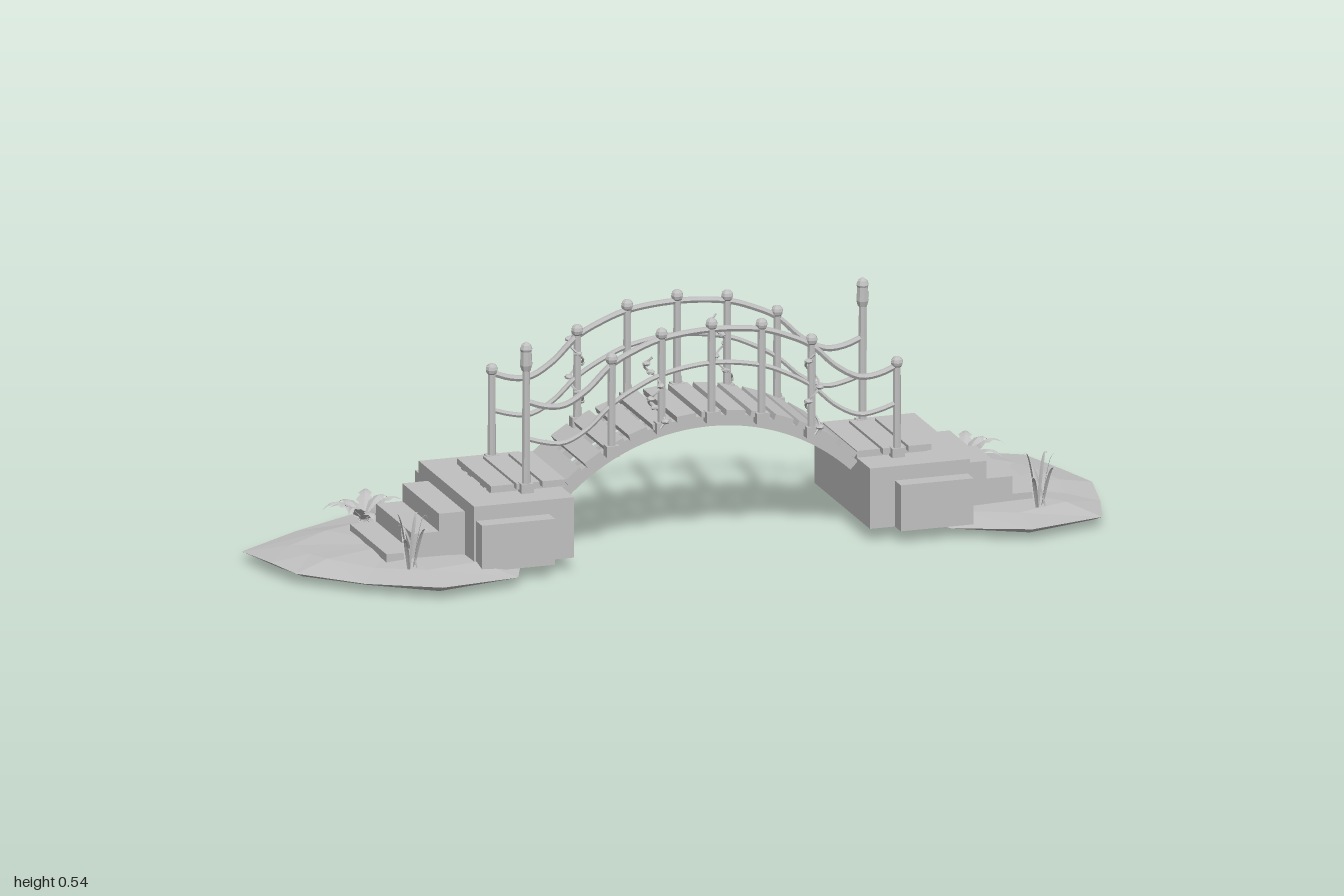
import * as THREE from 'three';

const stone = new THREE.MeshStandardMaterial({ color: 0xc0c0c0, flatShading: true, side: THREE.DoubleSide });
stone.name = 'plain grey';

function add(parent, name, geometry, x = 0, y = 0, z = 0) {
  const m = new THREE.Mesh(geometry, stone);
  m.name = name;
  m.position.set(x, y, z);
  parent.add(m);
  return m;
}

// box given by its limits
function box(parent, name, x0, x1, y0, y1, z0, z1) {
  return add(parent, name, new THREE.BoxGeometry(Math.abs(x1 - x0), y1 - y0, z1 - z0),
    (x0 + x1) / 2, (y0 + y1) / 2, (z0 + z1) / 2);
}

function tube(parent, name, pts, radius, segments, sides = 6) {
  const curve = new THREE.CatmullRomCurve3(pts.map(p => new THREE.Vector3(...p)));
  return add(parent, name, new THREE.TubeGeometry(curve, segments, radius, sides));
}

function meshFrom(pos, index) {
  const g = new THREE.BufferGeometry();
  g.setAttribute('position', new THREE.Float32BufferAttribute(pos, 3));
  g.setIndex(index);
  const flat = g.toNonIndexed();
  flat.computeVertexNormals();
  return flat;
}

// low mound lofted through scaled copies of an outline
function mound(parent, name, outline, cx, cz) {
  const rings = [[0.001, 0.046], [0.68, 0.042], [1, 0.026], [0.93, 0.016], [0.55, 0.002], [0.001, 0]];
  const pos = [], index = [], n = outline.length;
  rings.forEach(([s, y], i) => outline.forEach(([x, z], j) => {
    const bump = i === 1 || i === 2 ? 0.004 * Math.sin(j * 2.3 + i) : 0;
    pos.push(cx + (x - cx) * s, y + bump, cz + (z - cz) * s);
    if (i === 0) return;
    const k = (j + 1) % n, a = (i - 1) * n, b = i * n;
    index.push(a + j, b + j, b + k, a + j, b + k, a + k);
  }));
  add(parent, name, meshFrom(pos, index));
}

// arching serrated leaf, or a straight blade when serration is zero
function leaf(parent, name, x, y, z, angle, length, rise, drop, width, serration) {
  const pos = [], index = [], n = 10;
  const dx = Math.cos(angle), dz = Math.sin(angle);
  for (let i = 0; i <= n; i++) {
    const t = i / n, r = length * t;
    const h = rise * Math.sin(t * Math.PI * 0.62) - drop * t * t;
    const w = width * (0.35 + 0.65 * Math.sin(Math.PI * Math.min(1, t + 0.12))) *
      (1 - t ** 4) * (i % 2 ? 1 - serration : 1);
    for (const s of [-1, 0, 1])
      pos.push(x + dx * r - dz * w * s, y + h - Math.abs(s) * w * 0.35, z + dz * r + dx * w * s);
    if (i < n) for (const c of [0, 1]) {
      const a = i * 3 + c;
      index.push(a, a + 1, a + 3, a + 1, a + 4, a + 3);
    }
  }
  add(parent, name, meshFrom(pos, index));
}

function fern(parent, x, z) {
  for (let i = 0; i < 9; i++)
    leaf(parent, 'fernLeaf', x, 0.045, z, i * 2 * Math.PI / 9 + 0.2, 0.095 + 0.014 * Math.sin(i * 2.1),
      0.055 + 0.012 * Math.cos(i * 1.7), 0.025, 0.021, 0.4);
}

function grass(parent, x, z) {
  for (let i = 0; i < 7; i++)
    leaf(parent, 'grassBlade', x + 0.012 * Math.sin(i * 2), 0.04, z + 0.012 * Math.cos(i * 3), i * 0.9 + 0.3,
      0.035 + 0.035 * (i % 3) / 2, [0.13, 0.1, 0.09][i % 3], 0, 0.005, 0);
}

const RADIUS = 0.525, CENTRE_Y = -0.21, HALF_ANGLE = 0.735;
const deckY = u => Math.abs(u) < 0.355 ? Math.sqrt(RADIUS * RADIUS - u * u) + CENTRE_Y : 0.187;

function beam(parent, z, width) {
  const s = new THREE.Shape(), a0 = Math.PI / 2 - 0.76, a1 = Math.PI / 2 + 0.76;
  s.absarc(0, CENTRE_Y, 0.518, a0, a1, false);
  s.absarc(0, CENTRE_Y, 0.492, a1, a0, true);
  add(parent, 'archBeam', new THREE.ExtrudeGeometry(s, { depth: width, bevelEnabled: false, curveSegments: 20 }),
    0, 0, z - width / 2);
}

function post(parent, u, z, top, tall) {
  const base = deckY(u) - 0.012, end = tall ? 0.47 : top;
  add(parent, 'post', new THREE.CylinderGeometry(0.009, 0.010, end - base, 8), u, (base + end) / 2, z);
  box(parent, 'postFoot', u - 0.015, u + 0.015, base - 0.006, base + 0.02, z - 0.012, z + 0.012);
  if (tall) {
    const p = [[0, 0.455], [0.011, 0.462], [0.015, 0.475], [0.013, 0.507], [0.015, 0.512], [0.011, 0.522], [0, 0.53]];
    add(parent, 'postLantern', new THREE.LatheGeometry(p.map(q => new THREE.Vector2(...q)), 8), u, 0, z);
  } else {
    add(parent, 'postBall', new THREE.SphereGeometry(0.0145, 8, 6), u, top - 0.006, z);
  }
}

// climbing stem with small leaf buds
function vine(parent, u, z, y0, y1, lean) {
  const side = Math.sign(z), pts = [];
  for (let i = 0; i <= 12; i++) {
    const t = i / 12, a = t * Math.PI * 4;
    pts.push([u + lean * t + 0.016 * Math.sin(a), y0 + (y1 - y0) * t, z + side * (0.007 + 0.015 * Math.cos(a))]);
  }
  tube(parent, 'vineStem', pts, 0.0028, 40, 5);
  for (let i = 1; i < 12; i += 2) {
    const bud = add(parent, 'vineLeaf', new THREE.IcosahedronGeometry(0.011, 0), ...pts[i]);
    bud.scale.set(1, 0.6, 1);
    bud.position.z += side * 0.004;
    bud.rotation.y = i;
  }
}

export function createModel() {
  const model = new THREE.Group();
  model.name = 'gardenFootbridge';

  // ground mounds
  mound(model, 'rightMound', [[-0.46, -0.235], [-0.54, -0.275], [-0.665, -0.32], [-0.84, -0.225], [-1, -0.13],
    [-0.975, 0], [-0.945, 0.09], [-0.82, 0.21], [-0.67, 0.318], [-0.475, 0.275], [-0.42, 0.14], [-0.39, -0.05]], -0.68, 0);
  mound(model, 'leftMound', [[0.765, -0.312], [0.605, -0.24], [0.51, -0.12], [0.49, 0.05], [0.585, 0.215],
    [0.75, 0.305], [0.935, 0.25], [0.975, 0.12], [1, -0.01], [0.975, -0.15], [0.93, -0.28], [0.86, -0.305]], 0.75, 0);

  // plants
  fern(model, -0.68, -0.21);
  fern(model, 0.76, -0.21);
  grass(model, -0.7, 0.18);
  grass(model, 0.81, 0.175);

  const bridge = new THREE.Group();
  bridge.name = 'bridge';
  bridge.position.set(0.045, 0, -0.01);
  model.add(bridge);

  // abutments, steps and landing planks
  for (const s of [-1, 1]) {
    box(bridge, 'abutment', s * 0.355, s * 0.595, 0.03, 0.173, -0.195, 0.195);
    box(bridge, 'abutmentWing', s * 0.415, s * 0.59, 0.03, 0.139, -0.236, 0.236);
    [0.144, 0.102, 0.06].forEach((y, i) =>
      box(bridge, 'step', s * (0.594 + 0.063 * i), s * (0.657 + 0.063 * i), 0.025, y, -0.129, 0.129));
    for (let i = 0; i < 3; i++)
      box(bridge, 'landingPlank', s * (0.35 + 0.062 * i), s * (0.405 + 0.062 * i), 0.18, 0.194, -0.119, 0.119);
    for (const z of [-0.09, -0.045, 0.045, 0.09])
      box(bridge, 'landingBearer', s * 0.355, s * 0.525, 0.172, 0.181, z - 0.013, z + 0.013);
  }

  // arch beams and deck planks
  for (const s of [-1, 1]) {
    beam(bridge, s * 0.09, 0.03);
    beam(bridge, s * 0.045, 0.018);
  }
  const count = 13;
  for (let i = 0; i < count; i++) {
    const a = HALF_ANGLE * (2 * (i + 0.5) / count - 1);
    const p = add(bridge, 'deckPlank', new THREE.BoxGeometry(0.046, 0.014, 0.238),
      RADIUS * Math.sin(a), RADIUS * Math.cos(a) + CENTRE_Y, 0);
    p.rotation.z = -a;
  }

  // railings: half profile [u, upper rail, lower rail], mirrored about the middle
  const half = [[0.445, 0.388, 0.3], [0.4, 0.372, 0.286], [0.355, 0.37, 0.281], [0.3, 0.4, 0.307],
    [0.24, 0.455, 0.36], [0.18, 0.485, 0.395], [0.12, 0.505, 0.42]];
  const line = [...half.map(([u, a, b]) => [-u, a, b]), [0, 0.516, 0.437], ...half.slice().reverse()];
  for (const s of [-1, 1]) {
    const z = s * 0.121;
    tube(bridge, 'upperRail', line.map(([u, a]) => [u, a, z]), 0.0075, 60);
    tube(bridge, 'lowerRail', line.map(([u, , b]) => [u, b, z]), 0.006, 60);
    [[0, 0.535], [0.12, 0.523], [0.24, 0.475], [0.445, 0.402]].forEach(([u, top]) => {
      for (const d of u ? [-1, 1] : [1]) post(bridge, d * u, z, top, u > 0.4 && d === -s);
    });
  }

  // vines
  vine(bridge, -0.24, -0.121, 0.28, 0.46, 0.0);
  vine(bridge, 0.12, -0.121, 0.3, 0.47, -0.02);
  vine(bridge, -0.13, 0.121, 0.3, 0.47, -0.02);
  vine(bridge, 0.24, 0.121, 0.25, 0.44, 0.0);
  return model;
}
